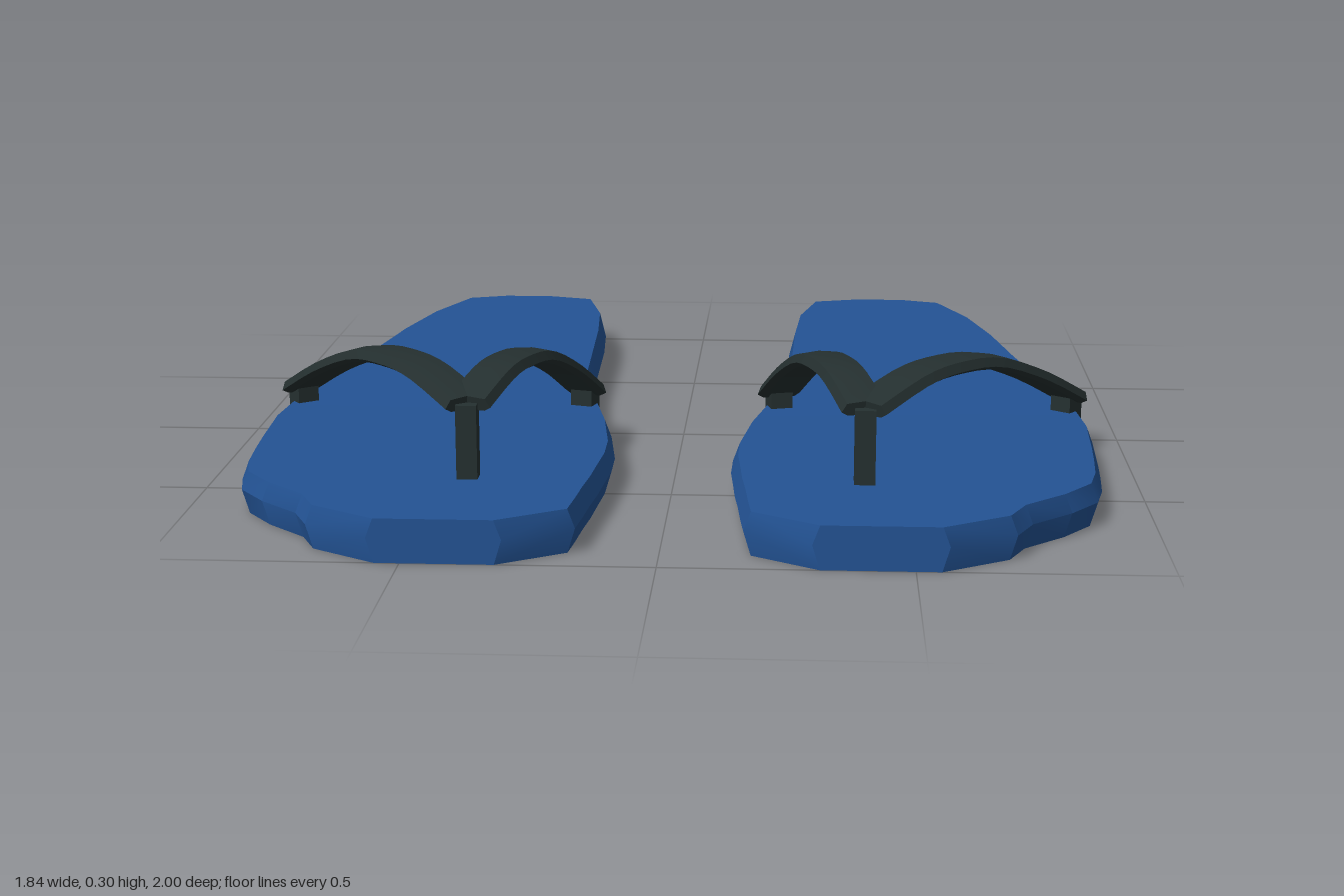
import * as THREE from 'three';
import { toCreasedNormals } from 'three/addons/utils/BufferGeometryUtils.js';

const blue = new THREE.MeshStandardMaterial({ color: 0x235394 });
blue.name = 'blue foam';
const black = new THREE.MeshStandardMaterial({ color: 0x253030 });
black.name = 'dark rubber';

// Skins a row of closed rings, caps both ends, and mirrors x when side is -1.
function loft(rings, side, crease) {
  const tris = [];
  const n = rings[0].length;
  for (let i = 0; i < rings.length - 1; i++) {
    for (let j = 0; j < n; j++) {
      const k = (j + 1) % n;
      const a = rings[i][j], b = rings[i][k], c = rings[i + 1][k], d = rings[i + 1][j];
      tris.push([a, b, c], [a, c, d]);
    }
  }
  const first = rings[0], last = rings[rings.length - 1];
  for (let j = 1; j < n - 1; j++) {
    tris.push([first[0], first[j + 1], first[j]], [last[0], last[j], last[j + 1]]);
  }
  const pts = tris.map(t => t.map(p => new THREE.Vector3(p.x * side, p.y, p.z)));
  // Signed volume tells whether the faces point outwards
  const cross = new THREE.Vector3();
  const volume = pts.reduce((sum, [a, b, c]) => sum + a.dot(cross.crossVectors(b, c)), 0);
  if (volume < 0) pts.forEach(t => t.reverse());
  const geometry = new THREE.BufferGeometry().setFromPoints(pts.flat());
  return toCreasedNormals(geometry, crease);
}

function part(name, geometry, material) {
  const mesh = new THREE.Mesh(geometry, material);
  mesh.name = name;
  return mesh;
}

// Sole outline from heel to toe: z, inner x, outer x
const OUTLINE = [
  [-1, 0.40, 0.55], [-0.97, 0.29, 0.645], [-0.81, 0.25, 0.715], [-0.62, 0.238, 0.765],
  [-0.41, 0.233, 0.805], [-0.2, 0.228, 0.85], [-0.05, 0.213, 0.88], [0.08, 0.178, 0.908],
  [0.22, 0.15, 0.919], [0.4, 0.128, 0.911], [0.5, 0.127, 0.905], [0.6, 0.135, 0.897],
  [0.68, 0.141, 0.88], [0.76, 0.15, 0.82], [0.84, 0.157, 0.735], [0.915, 0.165, 0.7],
  [1, 0.30, 0.565],
];

function makeSole(side) {
  const v = (x, y, z) => new THREE.Vector3(x, y, z);
  const inset = 0.015;
  const rings = OUTLINE.map(([z, inner, outer]) => {
    const top = z < 0.1 ? 0.09 + (0.1 - z) * 0.025 : 0.09;
    return [
      v(outer - inset, 0, z), v(outer, 0.05, z), v(outer - inset, top, z),
      v(inner + inset, top, z), v(inner, 0.05, z), v(inner + inset, 0, z),
    ];
  });
  return part('sole', loft(rings, side, 0.5), blue);
}

// Arched strap height, from the toe post (t = 0) to the side anchor (t = 1)
const ARCH = new THREE.SplineCurve([
  [0, 0.245], [0.2, 0.279], [0.36, 0.284], [0.55, 0.267], [0.78, 0.205], [1, 0.125],
].map(([t, y]) => new THREE.Vector2(t, y)));

// Strap cross-section: across, up; a shallow crown with bevelled edges
const SECTION = [
  [-0.05, -0.008], [-0.04, 0.011], [0, 0.015], [0.04, 0.011],
  [0.05, -0.008], [0.036, -0.016], [-0.036, -0.016],
];

function makeStrap(name, side, toe, anchor) {
  const across = new THREE.Vector3(anchor.z - toe.z, 0, toe.x - anchor.x).normalize();
  const rings = [];
  const steps = 16;
  const length = Math.hypot(anchor.x - toe.x, anchor.z - toe.z);
  const along = new THREE.Vector3().subVectors(anchor, toe).setY(0).normalize();
  for (let i = 0; i <= steps; i++) {
    const p = ARCH.getPoint(i / steps);
    const slope = ARCH.getTangent(i / steps);
    const up = along.clone().multiplyScalar(-slope.y)
      .setY(slope.x * length).normalize();
    const centre = new THREE.Vector3().lerpVectors(toe, anchor, p.x).setY(p.y);
    rings.push(SECTION.map(([w, h]) =>
      centre.clone().addScaledVector(across, w).addScaledVector(up, h)));
  }
  return part(name, loft(rings, side, 0.4), black);
}

// Square post turned to line up with its strap
function makePost(name, side, x, z, width, bottom, top, turn) {
  const post = part(name, new THREE.BoxGeometry(width, top - bottom, width), black);
  post.position.set(x * side, (top + bottom) / 2, z);
  post.rotation.y = turn * side;
  return post;
}

function makeSandal(name, side) {
  const sandal = new THREE.Group();
  sandal.name = name;
  const toe = new THREE.Vector3(0.405, 0, 0.69);
  const outer = new THREE.Vector3(0.88, 0, 0.065);
  const inner = new THREE.Vector3(0.22, 0, 0.065);
  sandal.add(
    makeSole(side),
    makeStrap('outerStrap', side, toe, outer),
    makeStrap('innerStrap', side, toe, inner),
    makePost('toePost', side, 0.405, 0.697, 0.043, 0.07, 0.245, 0),
    makePost('outerAnchor', side, 0.873, 0.075, 0.05, 0.065, 0.135, -0.65),
    makePost('innerAnchor', side, 0.222, 0.075, 0.05, 0.065, 0.135, 0.29),
  );
  return sandal;
}

export function createModel() {
  const model = new THREE.Group();
  model.name = 'flipFlops';
  model.add(makeSandal('leftSandal', 1), makeSandal('rightSandal', -1));
  return model;
}
